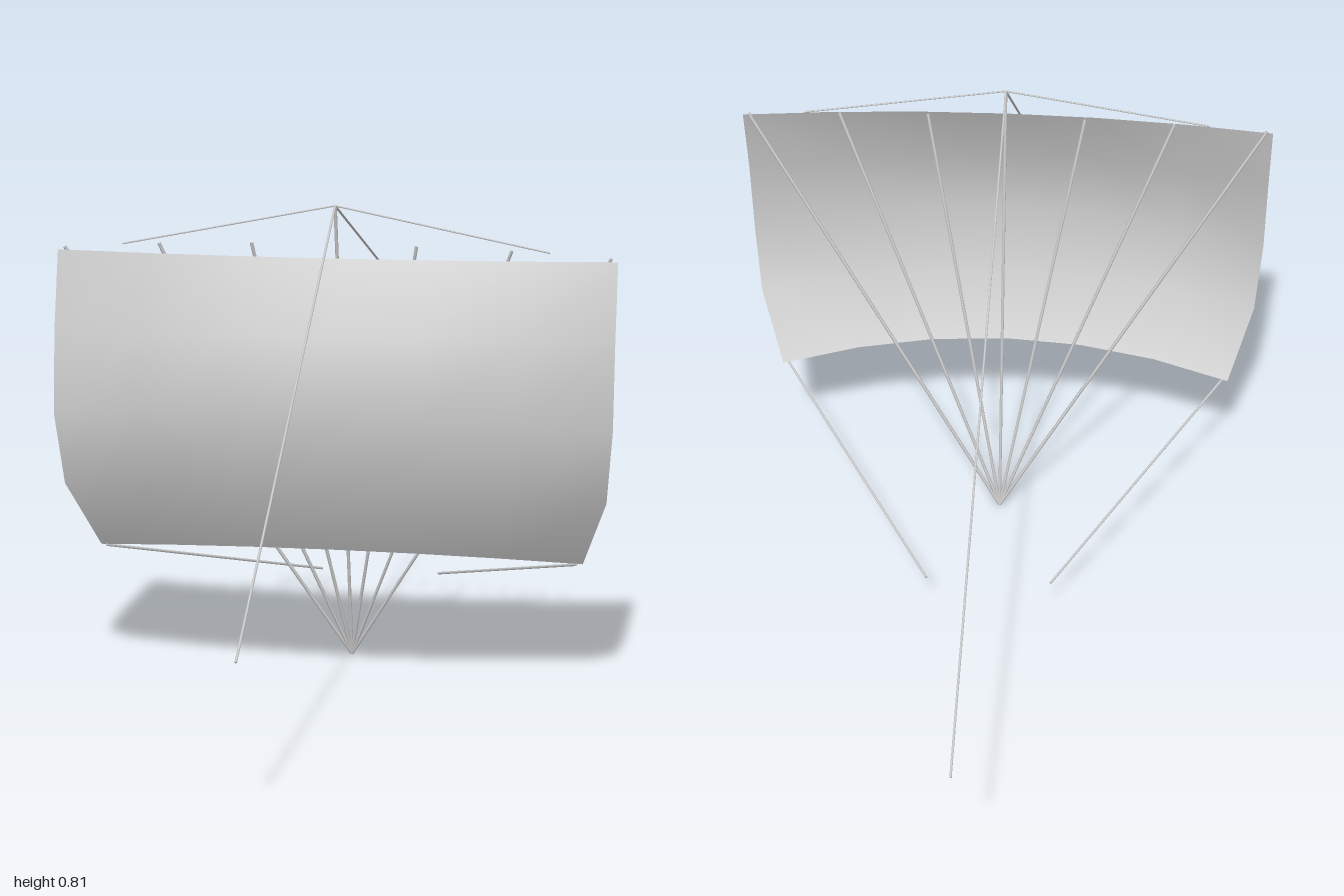
import * as THREE from 'three';

const mat = new THREE.MeshStandardMaterial({ color: 0xcccccc });
const sailMat = new THREE.MeshStandardMaterial({ color: 0xcccccc, side: THREE.DoubleSide });

// Thin line between two points
function rope(name, from, to, radius) {
  const a = new THREE.Vector3(...from), b = new THREE.Vector3(...to);
  const dir = b.clone().sub(a);
  const mesh = new THREE.Mesh(new THREE.CylinderGeometry(radius, radius, dir.length(), 6), mat);
  mesh.position.copy(a).add(b).multiplyScalar(0.5);
  mesh.quaternion.setFromUnitVectors(new THREE.Vector3(0, 1, 0), dir.normalize());
  mesh.name = name;
  return mesh;
}

// Billowing sail: each row runs from its middle point to its side edge
function makeSail() {
  // [half width, middle y, middle z, edge y, edge z], top to bottom
  const rows = [
    [0.468, 0.73, 0.288, 0.73, 0.253],
    [0.468, 0.605, 0.35, 0.6, 0.283],
    [0.468, 0.48, 0.37, 0.46, 0.298],
    [0.458, 0.345, 0.34, 0.335, 0.275],
    [0.415, 0.24, 0.28, 0.215, 0.208],
  ];
  const cols = 6;
  const geo = new THREE.PlaneGeometry(1, 1, cols, rows.length - 1);
  const pos = geo.attributes.position;
  rows.forEach(([half, my, mz, ey, ez], r) => {
    for (let c = 0; c <= cols; c++) {
      const t = (c / cols) * 2 - 1;
      pos.setXYZ(r * (cols + 1) + c, half * t, my + (ey - my) * t * t, mz + (ez - mz) * t * t);
    }
  });
  geo.computeVertexNormals();
  const mesh = new THREE.Mesh(geo, sailMat);
  mesh.name = 'sail';
  return mesh;
}

export function createModel() {
  const group = new THREE.Group();
  const mastHead = [0, 0.81, 0.232];
  const foot = [0, 0.003, 0.077];

  group.add(makeSail());

  // Long stays fore and aft, and the centre line down to the foot
  group.add(rope('foreStay', mastHead, [0, 0.252, 1], 0.002));
  group.add(rope('backStay', mastHead, [0, 0.39, -1], 0.002));
  group.add(rope('centreLine', foot, mastHead, 0.003));

  for (const s of [1, -1]) {
    // Fan of lines behind the sail
    for (const [x, y, z] of [[0.457, 0.735, 0.25], [0.295, 0.744, 0.248], [0.138, 0.748, 0.247]]) {
      group.add(rope('fanLine', foot, [s * x, y, z], 0.003));
    }
    // Upper lift and lower sheet
    group.add(rope('lift', mastHead, [s * 0.357, 0.742, 0.25], 0.0015));
    group.add(rope('sheet', [s * 0.405, 0.215, 0.212], [s * 0.11, 0.078, -0.22], 0.0025));
  }
  return group;
}
